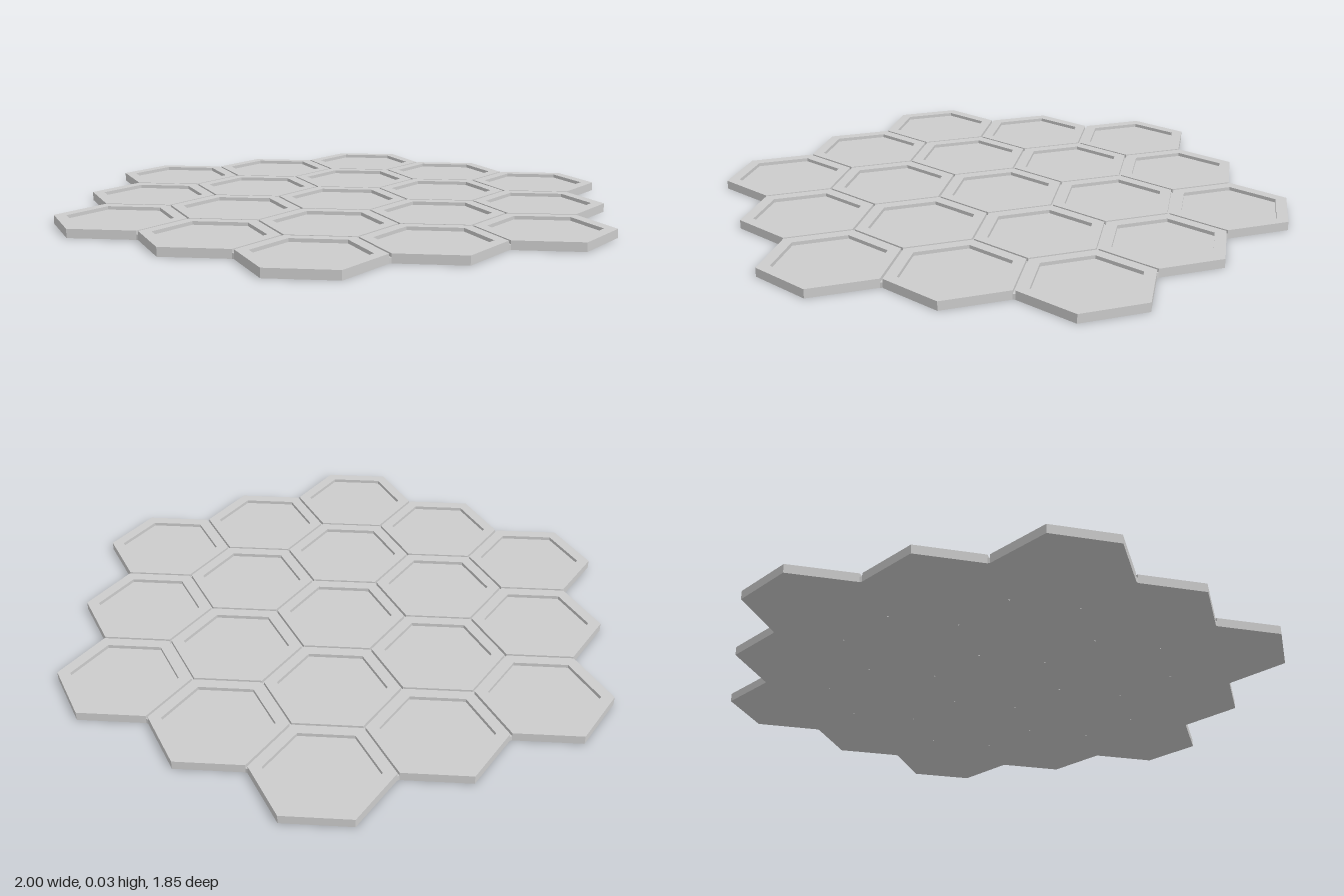
import * as THREE from 'three';

const GAP = 0.008, HEIGHT = 0.03, FLOOR = 0.018, RIM = 0.038;
const APOTHEM = (1 - 2 * GAP) / 5;
const PITCH = 2 * APOTHEM + GAP;
const toRadius = (a) => a / Math.cos(Math.PI / 6);

// Hexagonal tile with a raised rim around a sunken floor
function tileGeometry() {
  const outer = toRadius(APOTHEM), inner = toRadius(APOTHEM - RIM);
  const profile = [
    [0, 0], [outer, 0], [outer, HEIGHT], [inner, HEIGHT], [inner, FLOOR], [0, FLOOR],
  ].map(([x, y]) => new THREE.Vector2(x, y));
  const geometry = new THREE.LatheGeometry(profile, 6).toNonIndexed();
  geometry.computeVertexNormals();
  return geometry;
}

export function createModel() {
  const model = new THREE.Group();
  model.name = 'hexTileBoard';
  const material = new THREE.MeshStandardMaterial({ color: 0xcccccc, flatShading: true });

  // Rows of 3, 4, 5, 4, 3 tiles
  const centres = [];
  for (let row = -2; row <= 2; row++) {
    const count = 5 - Math.abs(row);
    for (let i = 0; i < count; i++) {
      centres.push(new THREE.Vector3((i - (count - 1) / 2) * PITCH, 0, row * PITCH * Math.sqrt(3) / 2));
    }
  }

  const tile = tileGeometry();
  centres.forEach((centre, i) => {
    const mesh = new THREE.Mesh(tile, material);
    mesh.name = `hexTile${i + 1}`;
    mesh.position.copy(centre);
    model.add(mesh);
  });

  // Low strips closing the grooves between neighbouring tiles
  const strip = new THREE.BoxGeometry(GAP, FLOOR, toRadius(APOTHEM));
  centres.forEach((a, i) => centres.slice(i + 1).forEach((b) => {
    if (a.distanceTo(b) > PITCH * 1.1) return;
    const mesh = new THREE.Mesh(strip, material);
    mesh.name = 'grooveFloor';
    mesh.position.copy(a).add(b).multiplyScalar(0.5).setY(FLOOR / 2);
    mesh.rotation.y = -Math.atan2(b.z - a.z, b.x - a.x);
    model.add(mesh);
  }));

  return model;
}
